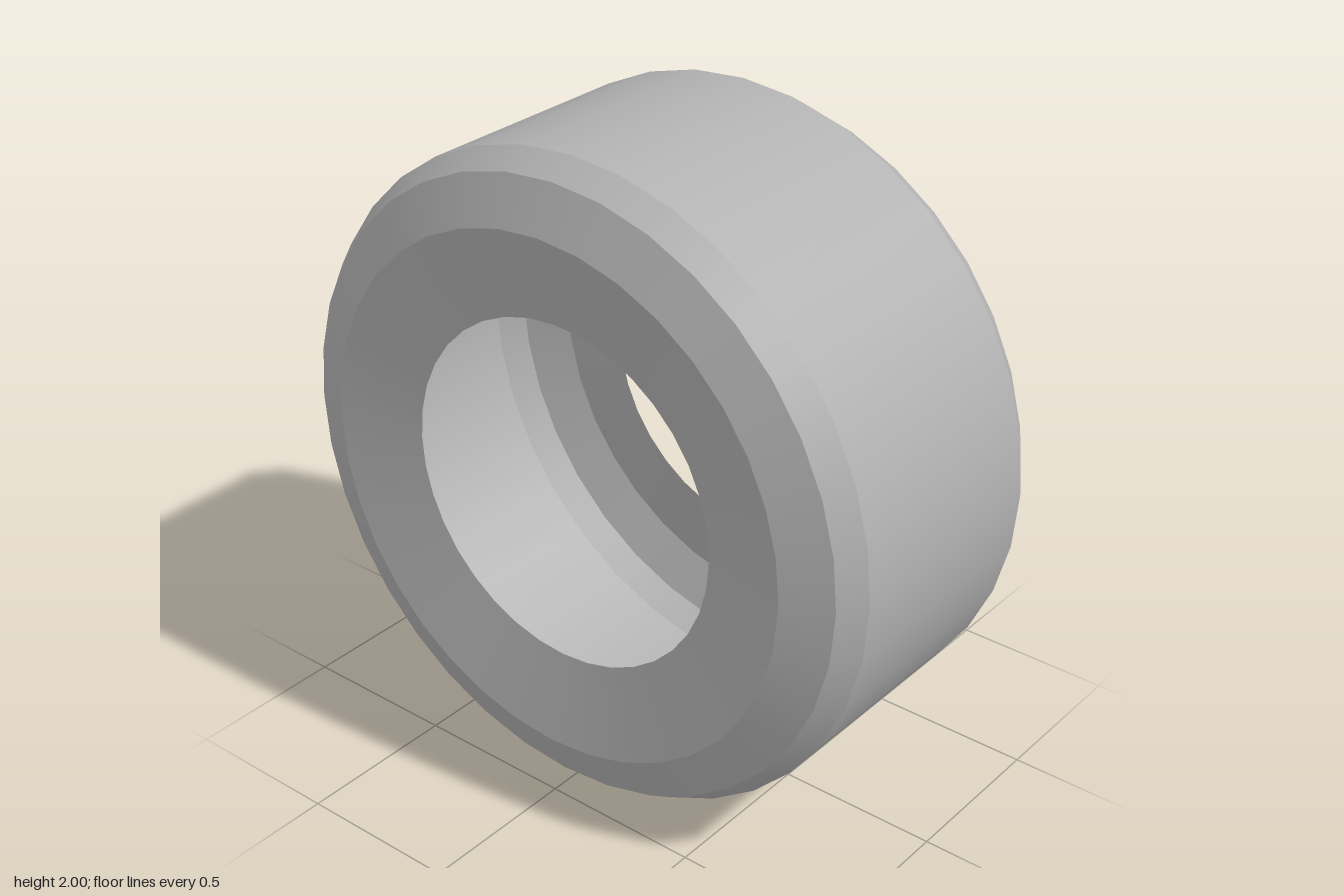
import * as THREE from 'three';

export function createModel() {
  const model = new THREE.Group();
  model.name = 'tyre';
  const rubber = new THREE.MeshStandardMaterial({ color: 0xb2b2b2, side: THREE.DoubleSide });
  rubber.name = 'grey rubber';

  // Half of the open shell's profile, from bead to tread: [radius, distance from middle]
  const half = [[0.535, 0.45], [0.81, 0.51], [0.95, 0.45], [1, 0.37]];
  const profile = [
    ...half.map(([r, d]) => new THREE.Vector2(r, -d)),
    ...[...half].reverse().map(([r, d]) => new THREE.Vector2(r, d)),
  ];
  const names = ['backSidewall', 'backShoulder', 'backTreadEdge', 'tread',
    'frontTreadEdge', 'frontShoulder', 'frontSidewall'];

  // One band per profile segment: smooth around, sharp between bands
  names.forEach((name, i) => {
    const band = new THREE.LatheGeometry([profile[i], profile[i + 1]], 36);
    band.rotateX(Math.PI / 2);
    const mesh = new THREE.Mesh(band, rubber);
    mesh.name = name;
    mesh.position.y = 1;
    model.add(mesh);
  });
  return model;
}
